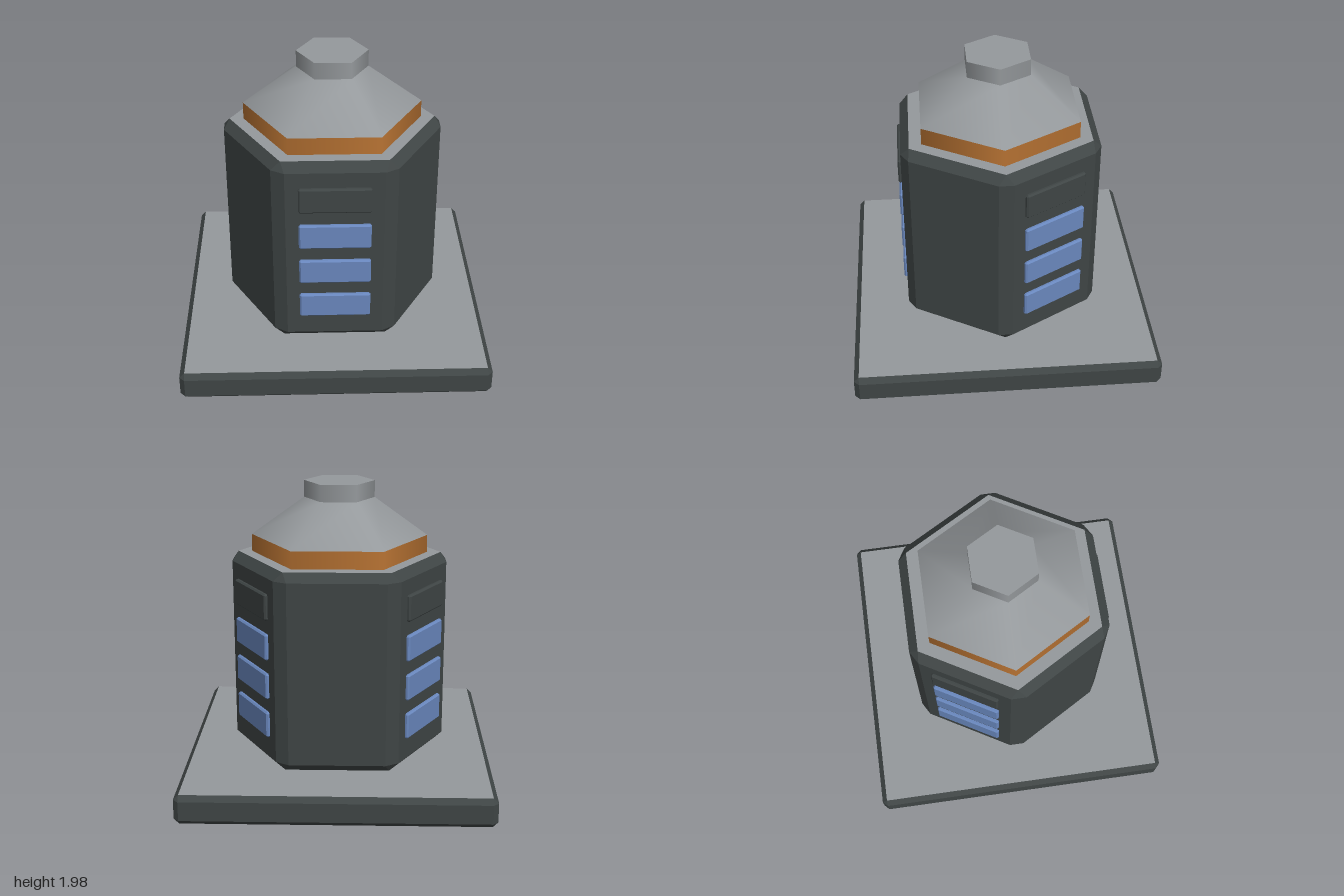
import * as THREE from 'three';

const mat = (name, color) => {
  const m = new THREE.MeshStandardMaterial({ color });
  m.name = name;
  return m;
};

// Upright prism over an outline of [x, z] corners with every edge chamfered by b.
// Group 0 holds sides and chamfers, group 1 the two end caps.
function chamferedPrism(outline, y0, y1, b) {
  const n = outline.length;
  const pts = outline.map(([x, z]) => new THREE.Vector2(x, z));
  const dir = pts.map((p, i) => pts[(i + 1) % n].clone().sub(p).normalize());
  // corners of the end caps, moved in by b from both neighbouring edges
  const inset = pts.map((p, i) => {
    const out = dir[i], back = dir[(i + n - 1) % n];
    const s = b / Math.abs(out.cross(back));
    return p.clone().addScaledVector(out, s).addScaledVector(back, -s);
  });
  const pos = [];
  const face = (...c) => {
    for (let k = 1; k < c.length - 1; k++) {
      for (const [p, y] of [c[0], c[k], c[k + 1]]) pos.push(p.x, y, p.y);
    }
  };
  const lo = y0 + b, hi = y1 - b;
  for (let i = 0; i < n; i++) {
    const j = (i + 1) % n;
    const A = pts[i].clone().addScaledVector(dir[i], b);
    const B = pts[j].clone().addScaledVector(dir[i], -b);
    const C = pts[j].clone().addScaledVector(dir[j], b);
    const S = inset[i], T = inset[j];
    face([A, lo], [A, hi], [B, hi], [B, lo]); // side
    face([A, hi], [S, y1], [T, y1], [B, hi]); // upper chamfer
    face([S, y0], [A, lo], [B, lo], [T, y0]); // lower chamfer
    face([B, lo], [B, hi], [C, hi], [C, lo]); // corner chamfer
    face([B, hi], [T, y1], [C, hi]);
    face([T, y0], [B, lo], [C, lo]);
  }
  const split = pos.length / 3;
  face(...inset.map(p => [p, y1]).reverse());
  face(...inset.map(p => [p, y0]));
  const g = new THREE.BufferGeometry();
  g.setAttribute('position', new THREE.Float32BufferAttribute(pos, 3));
  g.addGroup(0, split, 0);
  g.addGroup(split, pos.length / 3 - split, 1);
  g.computeVertexNormals();
  return g;
}

const rect = (w, h) => [[w, -h], [w, h], [-w, h], [-w, -h]];
const hexagon = r => Array.from({ length: 6 }, (_, i) =>
  [r * Math.cos(i * Math.PI / 3), r * Math.sin(i * Math.PI / 3)]);

export function createModel() {
  const model = new THREE.Group();
  model.name = 'hexagonalTower';
  const dark = mat('darkWall', 0x3f4545);
  const grey = mat('lightGrey', 0x95999c);
  const copper = mat('copper', 0xb87333);
  const blue = mat('blueGlass', 0x6987bd);

  const add = (name, geometry, material, parent = model) => {
    const mesh = new THREE.Mesh(geometry, material);
    mesh.name = name;
    parent.add(mesh);
    return mesh;
  };

  // square slab and hexagonal body
  add('base', chamferedPrism(rect(1, 1), 0, 0.193, 0.033), [dark, grey]);
  add('body', chamferedPrism(hexagon(0.732), 0.193, 1.506, 0.056), [dark, grey]);

  // roof: collar, sloped hood and neck, smooth around six sides
  const hexRing = (name, rTop, rBottom, y0, y1, material, open) => {
    const g = new THREE.CylinderGeometry(rTop, rBottom, y1 - y0, 6, 1, open);
    g.rotateY(Math.PI / 6);
    g.translate(0, (y0 + y1) / 2, 0);
    add(name, g, material);
  };
  hexRing('collar', 0.577, 0.577, 1.506, 1.62, copper, true);
  hexRing('hood', 0.23, 0.577, 1.62, 1.87, grey, true);
  hexRing('neck', 0.23, 0.23, 1.87, 1.98, grey, false);

  // a column of four panels on every second wall, the top one blank
  const panel = chamferedPrism(rect(0.228, 0.086), 0.6, 0.656, 0.01);
  panel.rotateX(Math.PI / 2);
  for (let side = 0; side < 3; side++) {
    const column = new THREE.Group();
    column.name = 'panelColumn';
    column.rotation.y = side * Math.PI * 2 / 3;
    model.add(column);
    for (let row = 0; row < 4; row++) {
      const material = row === 3 ? dark : blue;
      const mesh = add(row === 3 ? 'blankPanel' : 'window', panel, [material, material], column);
      mesh.position.y = 0.476 + row * 0.262;
    }
  }
  return model;
}
